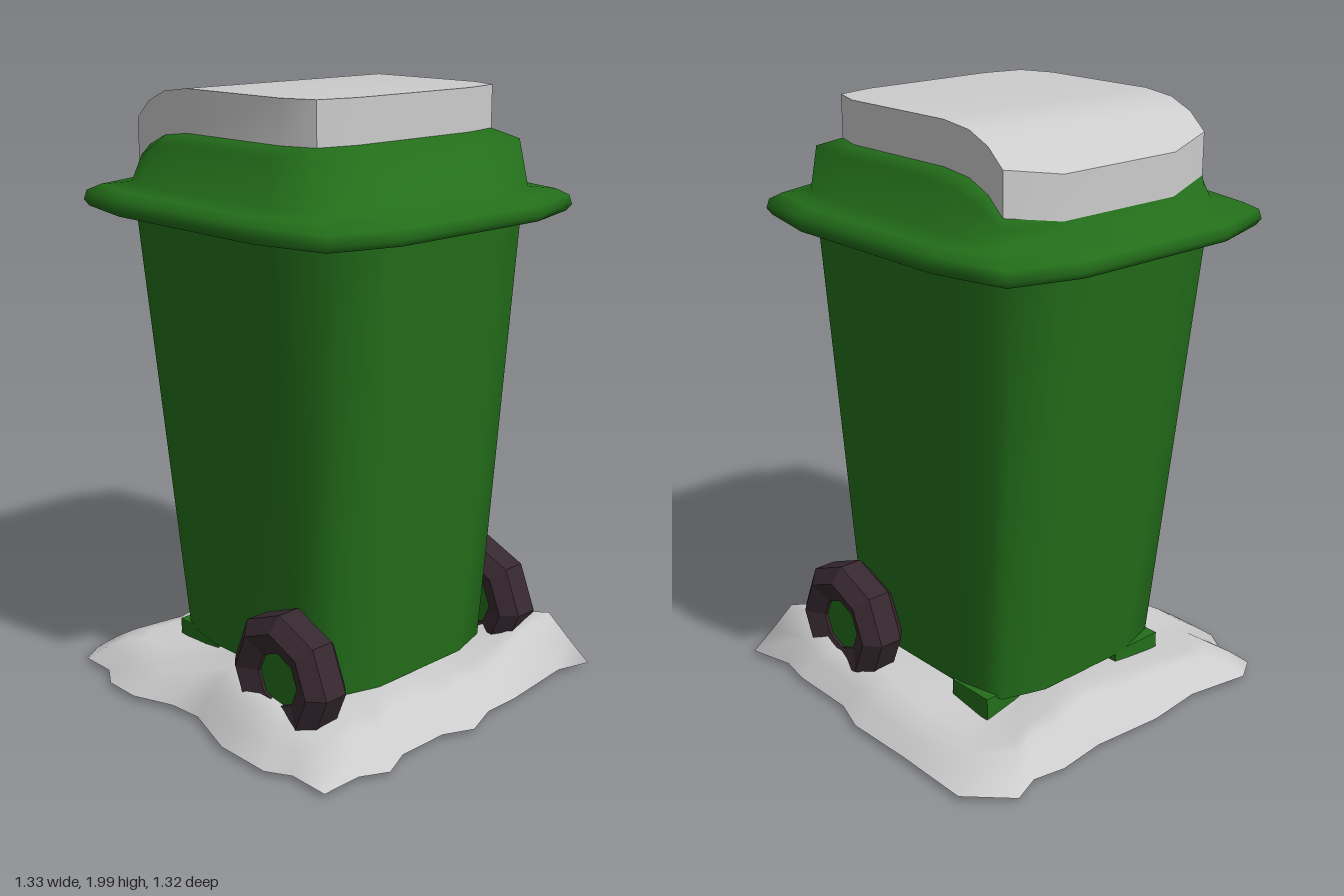
import * as THREE from 'three';
import { toCreasedNormals } from 'three/addons/utils/BufferGeometryUtils.js';

const green = new THREE.MeshStandardMaterial({ color: 0x236e1a });
const rubber = new THREE.MeshStandardMaterial({ color: 0x36282f, flatShading: true });
const snow = new THREE.MeshStandardMaterial({ color: 0xcccccc });
const snowSheet = new THREE.MeshStandardMaterial({ color: 0xcccccc, side: THREE.DoubleSide });

// Chamfered-rectangle half outline, running from +x to -x on the +z side
function halfOutline(x0, x1, z) {
  const c = (x0 + x1) / 2, h = (x1 - x0) / 2;
  return [[1, 0.51], [0.89, 0.9], [0.5, 1], [-0.3, 1], [-0.5, 1], [-0.7, 0.95], [-0.89, 0.9], [-1, 0.51]]
    .map(([u, v]) => [c + u * h, v * z]);
}

// Ring mirrored in z from a half outline; y is a number or a function of x
function ring(half, y) {
  const yAt = typeof y === 'function' ? y : () => y;
  const side = half.map(([x, z]) => [x, yAt(x), z]);
  return [...side, ...side.map(([x, yy, z]) => [x, yy, -z]).reverse()];
}

// Side faces between successive rings of n points
function skin(ringCount, n) {
  const idx = [];
  for (let r = 0; r < ringCount - 1; r++) {
    for (let i = 0; i < n; i++) {
      const a = r * n + i, b = r * n + (i + 1) % n;
      idx.push(a, a + n, b, b, a + n, b + n);
    }
  }
  return idx;
}

function indexed(points, idx) {
  const g = new THREE.BufferGeometry();
  g.setAttribute('position', new THREE.Float32BufferAttribute(points, 3));
  g.setIndex(idx);
  return g;
}

// Skin between rings (listed bottom to top), capped at both ends
function loft(rings, crease) {
  const n = rings[0].length, idx = skin(rings.length, n);
  const top = (rings.length - 1) * n;
  for (let i = 0; i < n / 2 - 1; i++) {
    const p = n - 1 - i;
    idx.push(top + i, top + p, top + i + 1, top + i + 1, top + p, top + p - 1);
    idx.push(i, i + 1, p, i + 1, p - 1, p);
  }
  return toCreasedNormals(indexed(rings.flat(2), idx), crease);
}

function add(parent, name, geometry, material) {
  const mesh = new THREE.Mesh(geometry, material);
  mesh.name = name;
  parent.add(mesh);
  return mesh;
}

// How far the lid falls away toward -x
function drop(x) {
  const pts = [[-0.5, 0.135], [-0.45, 0.105], [-0.39, 0.05], [-0.31, 0.014], [-0.2, 0]];
  if (x <= pts[0][0]) return pts[0][1];
  for (let i = 1; i < pts.length; i++) {
    const [x0, d0] = pts[i - 1], [x1, d1] = pts[i];
    if (x < x1) return d0 + (d1 - d0) * (x - x0) / (x1 - x0);
  }
  return 0;
}

// Height of the snow drift away from its rim
function driftHeight(x, z) {
  const bump = (cx, cz, r, h) => h * Math.exp(-((x - cx) ** 2 + (z - cz) ** 2) / (r * r));
  return 0.11 + bump(0.5, -0.56, 0.16, 0.13) + bump(0.12, 0.4, 0.22, 0.055) + bump(0.42, 0.15, 0.18, 0.03)
    + bump(-0.48, -0.1, 0.2, 0.045) + bump(0.08, 0, 0.25, 0.05)
    - bump(-0.35, -0.42, 0.18, 0.04) - bump(-0.35, 0.42, 0.2, 0.015);
}

function driftGeometry() {
  const rim = [
    [0.665, 0], [0.62, 0.1], [0.62, 0.28], [0.665, 0.38], [0.62, 0.47], [0.62, 0.61],
    [0.48, 0.61], [0.4, 0.655], [0.2, 0.655], [0, 0.59], [-0.12, 0.6], [-0.26, 0.655],
    [-0.39, 0.655], [-0.47, 0.605], [-0.6, 0.605], [-0.65, 0.52], [-0.61, 0.3], [-0.63, 0.1],
    [-0.61, -0.15], [-0.63, -0.32], [-0.61, -0.43], [-0.65, -0.53], [-0.52, -0.66], [-0.25, -0.655],
    [0, -0.66], [0.12, -0.62], [0.36, -0.62], [0.47, -0.6], [0.625, -0.64], [0.59, -0.52],
    [0.62, -0.25], [0.62, -0.12]];
  const scales = [1, 0.92, 0.84, 0.76, 0.6, 0.4, 0.2, 0.01];
  const rise = [0, 0.48, 0.88, 1, 1, 1, 1, 1];
  const pos = scales.flatMap((s, r) => rim.flatMap(([x, z]) => [
    x * s, 0.02 + (driftHeight(x * s, z * s) - 0.02) * rise[r], z * s]));
  const g = indexed(pos, skin(scales.length, rim.length));
  g.computeVertexNormals();
  return g;
}

export function createModel() {
  const model = new THREE.Group();
  model.name = 'wheeledBin';

  // Tapered body with softly shaded corners
  add(model, 'body', loft([
    ring(halfOutline(-0.4, 0.425, 0.37), 0.145),
    ring(halfOutline(-0.54, 0.5, 0.46), 1.63),
  ], 1.25), green);

  // Lid in one skin: rounded brim, then a raised top falling toward -x
  const slab = [[0.37, 0.24], [0.34, 0.375], [0.23, 0.415], [-0.2, 0.415], [-0.31, 0.415],
    [-0.39, 0.415], [-0.45, 0.415], [-0.5, 0.23]];
  const shoulder = [[0.43, 0.24], [0.42, 0.42], [0.23, 0.465], [-0.2, 0.465], [-0.31, 0.463],
    [-0.39, 0.45], [-0.455, 0.42], [-0.505, 0.23]];
  const base = [[0.5, 0.24], [0.46, 0.42], [0.24, 0.467], [-0.2, 0.467], [-0.31, 0.467],
    [-0.4, 0.46], [-0.475, 0.43], [-0.53, 0.23]];
  add(model, 'lid', loft([
    ring(halfOutline(-0.56, 0.52, 0.49), 1.605),
    ring(halfOutline(-0.655, 0.605, 0.58), 1.605),
    ring(halfOutline(-0.668, 0.62, 0.592), 1.625),
    ring(halfOutline(-0.66, 0.612, 0.585), 1.655),
    ring(halfOutline(-0.62, 0.58, 0.55), 1.675),
    ring(base, 1.685),
    ring(shoulder, (x) => 1.83 - drop(x)),
    ring(slab, (x) => 1.86 - drop(x)),
  ], 1.6), green);

  // Slab of snow lying on the lid
  add(model, 'lidSnow', loft([
    ring(slab, (x) => 1.855 - drop(x)),
    ring(slab, (x) => 1.995 - drop(x)),
  ], 0.6), snow);

  // Two feet on the side away from the wheels
  for (const [x, z, w] of [[-0.3, 0.24, 0.2], [-0.25, -0.28, 0.17]]) {
    add(model, 'foot', new THREE.BoxGeometry(w, 0.12, 0.2), green).position.set(x, 0.095, z);
  }

  // Eight-sided wheels
  const tyreProfile = [[0.09, -0.05], [0.165, -0.082], [0.215, -0.04], [0.215, 0.04],
    [0.165, 0.082], [0.09, 0.05], [0.09, -0.05]].map(([r, y]) => new THREE.Vector2(r, y));
  const tyre = new THREE.LatheGeometry(tyreProfile, 8).rotateX(Math.PI / 2);
  const hub = new THREE.CylinderGeometry(0.092, 0.092, 0.08, 8).rotateX(Math.PI / 2);
  for (const z of [0.44, -0.455]) {
    const wheel = new THREE.Group();
    wheel.name = 'wheel';
    add(wheel, 'tyre', tyre, rubber);
    add(wheel, 'hub', hub, green);
    wheel.position.set(0.277, 0.22, z);
    model.add(wheel);
  }

  // Snow drift around the base
  add(model, 'snowDrift', driftGeometry(), snowSheet);
  return model;
}
